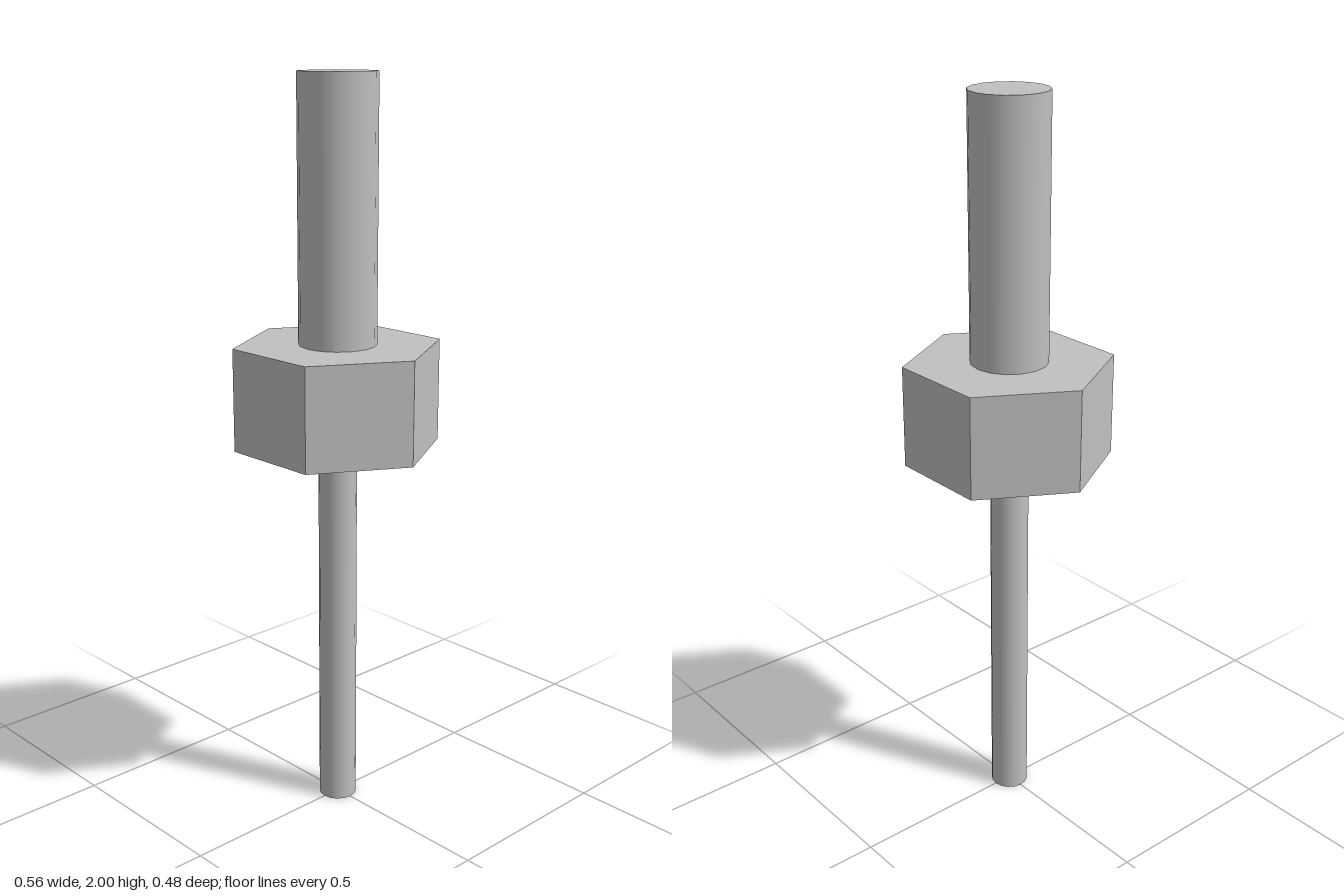
import * as THREE from 'three';

export function createModel() {
  const group = new THREE.Group();
  const steel = new THREE.MeshStandardMaterial({ color: 0xc0c0c0 });
  steel.name = 'steel';
  const flatSteel = steel.clone();
  flatSteel.flatShading = true;

  // Upright prism or cylinder spanning bottom to top
  function addPart(name, radius, bottom, top, sides, material, turn = 0) {
    const height = top - bottom;
    const geometry = new THREE.CylinderGeometry(radius, radius, height, sides, 1, false, turn);
    const mesh = new THREE.Mesh(geometry, material);
    mesh.name = name;
    mesh.position.y = bottom + height / 2;
    group.add(mesh);
  }

  // Thin lower rod
  addPart('lowerRod', 0.0517, 0, 1.0345, 16, steel);
  // Hexagonal collar with corners on the x axis
  addPart('hexCollar', 0.2787, 1.0345, 1.3103, 6, flatSteel, Math.PI / 6);
  // Thicker upper shaft
  addPart('upperShaft', 0.1034, 1.3103, 2, 16, steel);

  return group;
}
